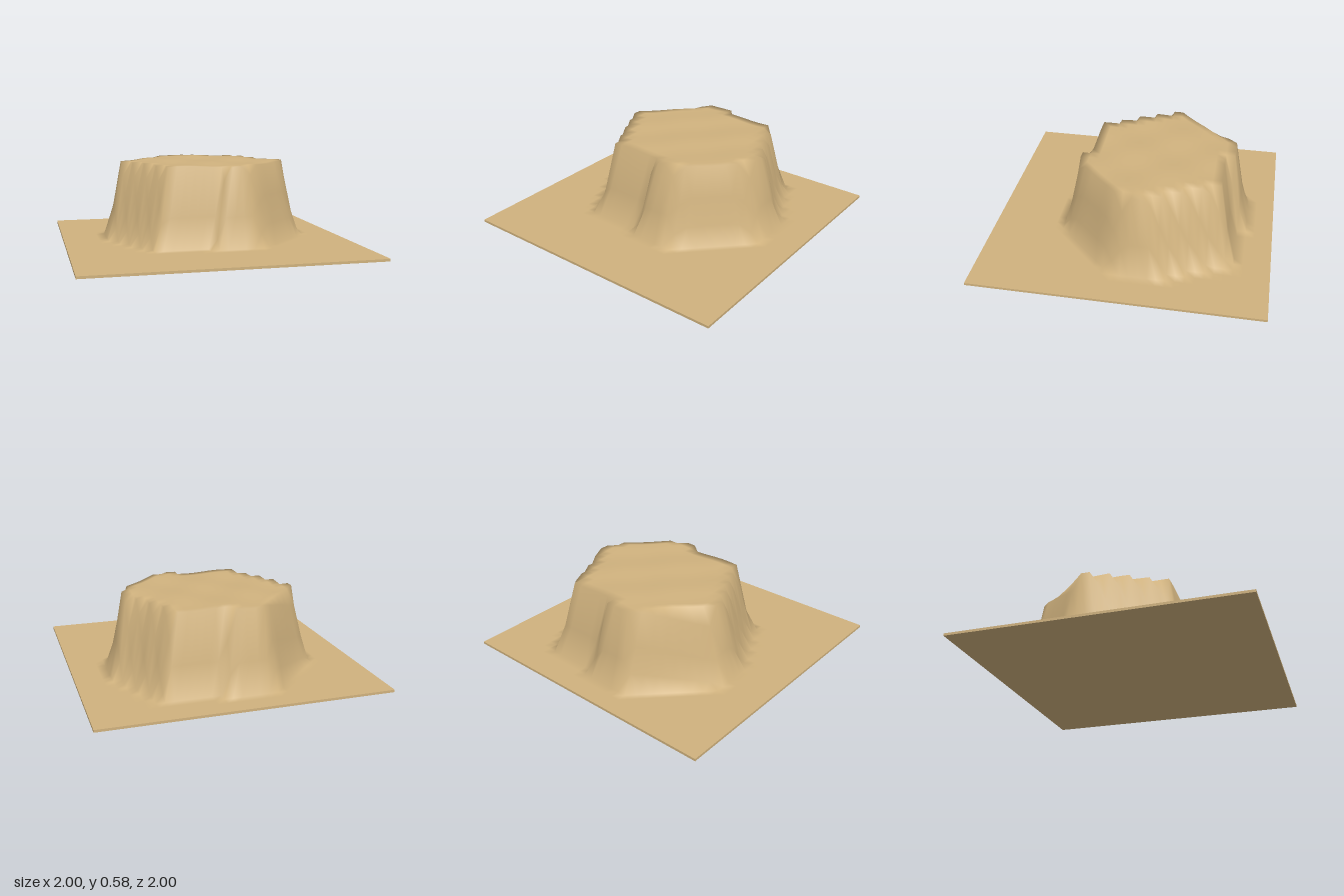
import * as THREE from 'three';

// Halfway contour of the cliff, as x, z corners
const OUTLINE = [
  [-0.22, -0.75], [0.03, -0.75], [0.1, -0.6875], [0.44, -0.6875], [0.5, -0.56], [0.6, -0.34],
  [0.6875, -0.19], [0.6875, -0.03], [0.62, 0.1], [0.36, 0.36], [0.25, 0.4375], [0.06, 0.4375],
  [0, 0.375], [-0.36, 0.375], [-0.45, 0.2], [-0.55, 0], [-0.625, -0.15], [-0.625, -0.3],
];
const CELLS = 32;
const STEP = 2 / CELLS;
const GROUND = 0.018;

// Signed distance to the outline, negative inside
function outlineDistance(x, z) {
  let best = Infinity;
  let inside = false;
  OUTLINE.forEach(([ax, az], i) => {
    const [bx, bz] = OUTLINE[(i + 1) % OUTLINE.length];
    const dx = bx - ax, dz = bz - az;
    const t = THREE.MathUtils.clamp(((x - ax) * dx + (z - az) * dz) / (dx * dx + dz * dz), 0, 1);
    best = Math.min(best, Math.hypot(x - ax - dx * t, z - az - dz * t));
    if ((az > z) !== (bz > z) && x < ax + (dx * (z - az)) / dz) inside = !inside;
  });
  return inside ? -best : best;
}

// Flat ground, a flared cliff one cell either side of the outline, and a gently rolling top
function heightAt(x, z) {
  const d = THREE.MathUtils.clamp(outlineDistance(x, z) / STEP, -1, 1);
  const top = 0.571 + 0.006 * Math.sin(x * 13 + 1) * Math.cos(z * 11);
  const middle = 0.235;
  return d < 0
    ? THREE.MathUtils.lerp(middle, top, -d)
    : THREE.MathUtils.lerp(middle, GROUND, d);
}

export function createModel() {
  const model = new THREE.Group();
  model.name = 'mesa';
  const sand = new THREE.MeshStandardMaterial({ color: 0xd0b27e });
  sand.name = 'sand';

  // Ground and plateau as one smooth height grid
  const grid = new THREE.PlaneGeometry(2, 2, CELLS, CELLS).rotateX(-Math.PI / 2);
  const p = grid.attributes.position;
  for (let i = 0; i < p.count; i++) p.setY(i, heightAt(p.getX(i), p.getZ(i)));
  grid.computeVertexNormals();
  const terrain = new THREE.Mesh(grid, sand);
  terrain.name = 'terrain';

  // Thin slab closing the sides and underside
  const slabHeight = GROUND - 0.001;
  const slab = new THREE.Mesh(new THREE.BoxGeometry(2, slabHeight, 2), sand);
  slab.position.y = slabHeight / 2;
  slab.name = 'baseSlab';

  model.add(terrain, slab);
  return model;
}
